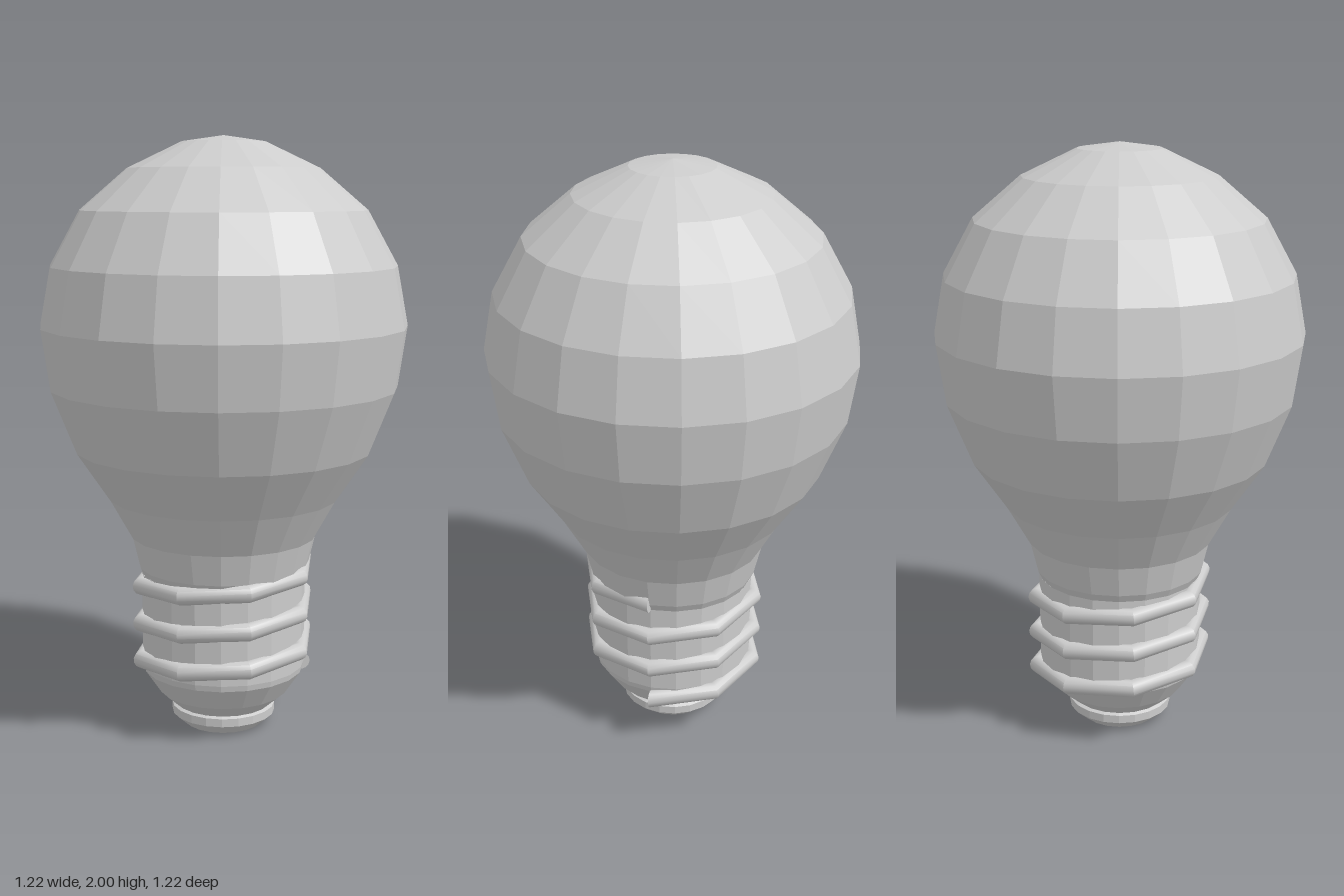
import * as THREE from 'three';
import { toCreasedNormals } from 'three/addons/utils/BufferGeometryUtils.js';

const SIDES = 20;

// Faceted solid of revolution; profile runs from bottom to top as [radius, y]
function facetedLathe(profile) {
  const points = profile.map(([r, y]) => new THREE.Vector2(r, y));
  const geometry = new THREE.LatheGeometry(points, SIDES).toNonIndexed();
  geometry.computeVertexNormals();
  return geometry;
}

// Rising coil that starts on +x and turns towards the back
class Helix extends THREE.Curve {
  constructor(radius, bottom, top, turns) {
    super();
    Object.assign(this, { radius, bottom, top, turns });
  }
  getPoint(t, target = new THREE.Vector3()) {
    const a = t * this.turns * Math.PI * 2;
    return target.set(
      this.radius * Math.cos(a),
      THREE.MathUtils.lerp(this.bottom, this.top, t),
      -this.radius * Math.sin(a)
    );
  }
}

export function createModel() {
  const model = new THREE.Group();
  model.name = 'lightBulb';
  const grey = new THREE.MeshStandardMaterial({ color: 0xcccccc });
  grey.name = 'light grey';

  const add = (name, geometry) => {
    const mesh = new THREE.Mesh(geometry, grey);
    mesh.name = name;
    model.add(mesh);
    return mesh;
  };

  // Glass globe narrowing into the neck
  add('glassBulb', facetedLathe([
    [0.275, 0.535], [0.29, 0.565], [0.315, 0.67], [0.39, 0.805], [0.5, 0.97],
    [0.583, 1.18], [0.612, 1.383], [0.575, 1.58], [0.475, 1.76],
    [0.317, 1.895], [0.138, 1.98], [0, 2],
  ]));

  // Screw base
  add('screwBase', facetedLathe([
    [0.165, 0.07], [0.222, 0.12], [0.276, 0.2], [0.28, 0.22], [0.28, 0.54],
  ]));

  // Contact at the foot
  add('contactCap', facetedLathe([
    [0, 0], [0.135, 0], [0.178, 0.038], [0.178, 0.066], [0.16, 0.075],
  ]));

  // Screw thread: eight straight pieces per turn, three turns
  const helix = new Helix(0.29, 0.18, 0.57, 3);
  const wire = 0.03;
  add('screwThread', toCreasedNormals(
    new THREE.TubeGeometry(helix, 24, wire, 12), THREE.MathUtils.degToRad(40)
  ));

  // Flat ends of the thread
  for (const [name, t, sign] of [['threadStart', 0, -1], ['threadEnd', 1, 1]]) {
    const end = add(name, new THREE.CircleGeometry(wire, 12));
    end.position.copy(helix.getPoint(t));
    end.quaternion.setFromUnitVectors(
      new THREE.Vector3(0, 0, 1), helix.getTangent(t).multiplyScalar(sign)
    );
  }

  return model;
}
